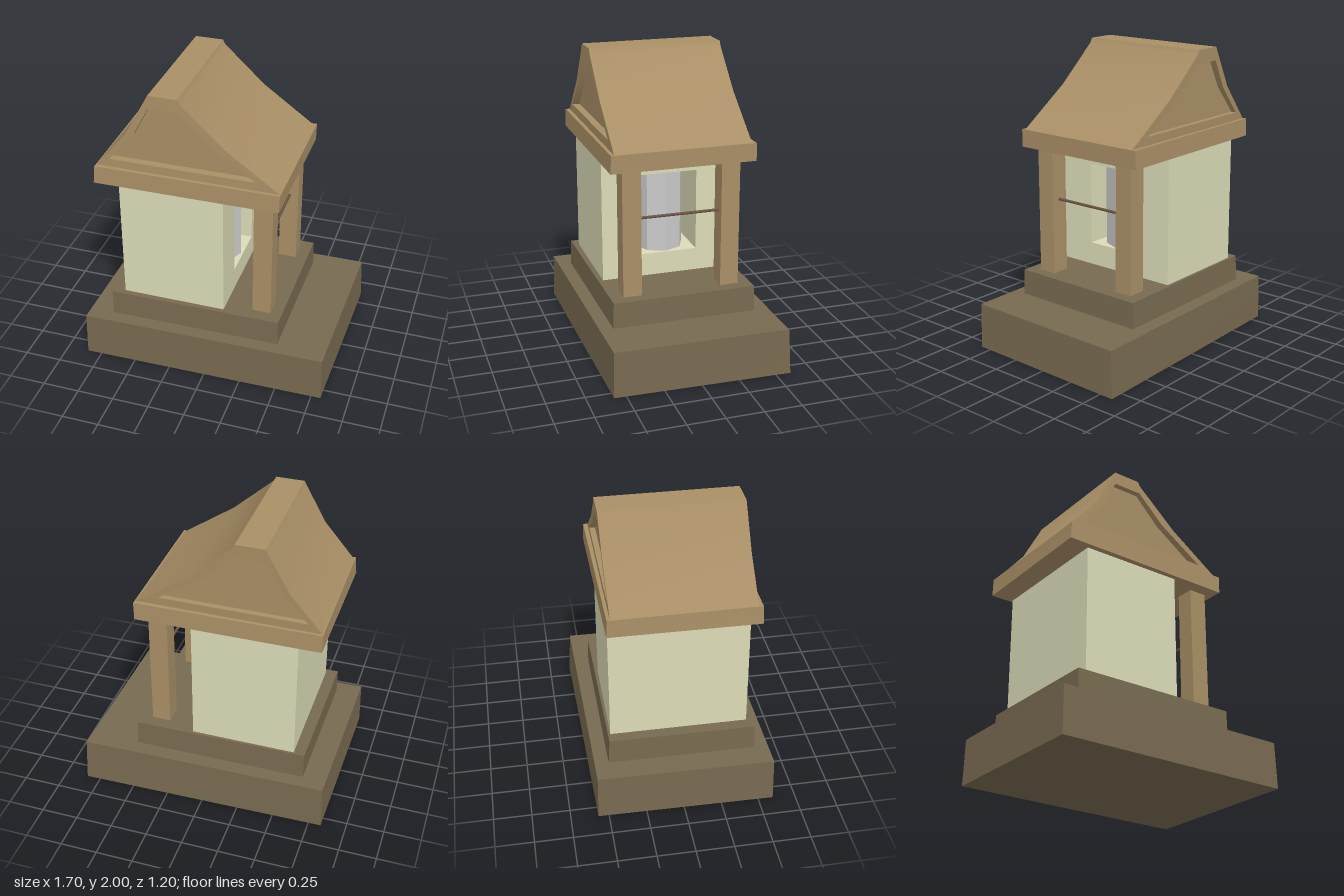
import * as THREE from 'three';
import { toCreasedNormals } from 'three/addons/utils/BufferGeometryUtils.js';

const material = (color, extra = {}) => new THREE.MeshStandardMaterial({ color, ...extra });

// Box whose corners are moved: quads list [x, z] as back left, back right, front left, front right
function skewBox(y0, y1, bottom, top) {
  const g = new THREE.BoxGeometry(1, 1, 1);
  const p = g.attributes.position;
  for (let i = 0; i < p.count; i++) {
    const corner = (p.getX(i) > 0 ? 1 : 0) + (p.getZ(i) > 0 ? 2 : 0);
    const upper = p.getY(i) > 0;
    const [x, z] = (upper ? top : bottom)[corner];
    p.setXYZ(i, x, upper ? y1 : y0, z);
  }
  g.computeVertexNormals();
  return g;
}

function spanBox(x0, x1, y0, y1, z0, z1) {
  return new THREE.BoxGeometry(x1 - x0, y1 - y0, z1 - z0)
    .translate((x0 + x1) / 2, (y0 + y1) / 2, (z0 + z1) / 2);
}

const outline = (points) => points.map(([x, y]) => new THREE.Vector2(x, y));

export function createModel() {
  const group = new THREE.Group();
  const stone = material(0x786a50);
  const wood = material(0xa98f66);
  const plaster = material(0xdcdcb8);
  const grey = material(0xcccccc, { flatShading: true });
  const darkWood = material(0x6b5442);

  const add = (name, geometry, mat) => {
    const mesh = new THREE.Mesh(geometry, mat);
    mesh.name = name;
    group.add(mesh);
    return mesh;
  };

  // Two uneven stone steps
  add('base', skewBox(0, 0.31,
    [[-0.835, -0.57], [0.845, -0.6], [-0.85, 0.6], [0.815, 0.58]],
    [[-0.83, -0.565], [0.835, -0.585], [-0.845, 0.595], [0.81, 0.575]]), stone);
  add('step', skewBox(0.31, 0.485,
    [[-0.675, -0.475], [0.495, -0.48], [-0.68, 0.5], [0.485, 0.49]],
    [[-0.675, -0.465], [0.49, -0.475], [-0.68, 0.495], [0.485, 0.485]]), stone);

  // Shrine body: solid rear and a front part with a niche opening toward +x
  add('bodyRear', spanBox(-0.6, -0.3, 0.48, 1.35, -0.45, 0.455), plaster);
  const wall = new THREE.Shape(outline([[-0.455, 0.48], [0.45, 0.48], [0.45, 1.35], [-0.455, 1.35]]));
  wall.holes.push(new THREE.Path(outline([[-0.21, 0.64], [-0.21, 1.2], [0.2, 1.2], [0.2, 0.64]])));
  const wallGeometry = new THREE.ExtrudeGeometry(wall, { depth: 0.4, bevelEnabled: false });
  wallGeometry.rotateY(Math.PI / 2).translate(-0.3, 0, 0);
  add('bodyFront', wallGeometry, plaster);

  // Eight-sided pillar in the niche
  add('nichePillar', new THREE.CylinderGeometry(0.165, 0.165, 0.56, 8)
    .translate(-0.08, 0.92, 0.01), grey);

  // Porch posts with a rod between them
  for (const [name, z0, z1] of [['frontPost', 0.275, 0.4], ['backPost', -0.39, -0.265]]) {
    add(name, spanBox(0.285, 0.41, 0.48, 1.35, z0, z1), wood);
  }
  add('rod', new THREE.CylinderGeometry(0.01, 0.01, 0.56, 8)
    .rotateX(Math.PI / 2).translate(0.35, 0.997, 0.005), darkWood);

  // Eaves slab
  add('eaves', skewBox(1.345, 1.465,
    [[-0.75, -0.47], [0.468, -0.478], [-0.755, 0.495], [0.468, 0.488]],
    [[-0.75, -0.465], [0.472, -0.474], [-0.745, 0.49], [0.472, 0.484]]), wood);

  // Roof: hollow shell with a shorter core, leaving a recessed gable at each end
  const shell = new THREE.Shape(outline([[-0.745, 1.46], [0.47, 1.46], [0.1, 1.72],
    [-0.175, 1.97], [-0.19, 2], [-0.38, 2], [-0.53, 1.72]]));
  const gable = outline([[-0.65, 1.52], [-0.48, 1.72], [-0.38, 1.91],
    [-0.18, 1.91], [0, 1.73], [0.31, 1.52]]);
  shell.holes.push(new THREE.Path(gable));
  const extrudeZ = (shape, z0, z1) =>
    new THREE.ExtrudeGeometry(shape, { depth: z1 - z0, bevelEnabled: false }).translate(0, 0, z0);

  // The ends lean a little toward the back as they rise
  const shellGeometry = extrudeZ(shell, -0.445, 0.462);
  const p = shellGeometry.attributes.position;
  for (let i = 0; i < p.count; i++) {
    p.setZ(i, p.getZ(i) - 0.016 * (p.getY(i) - 1.46) / 0.54);
  }
  add('roof', toCreasedNormals(shellGeometry, 0.4), wood);
  add('gablePanels', extrudeZ(new THREE.Shape(gable), -0.41, 0.41), wood);

  return group;
}
